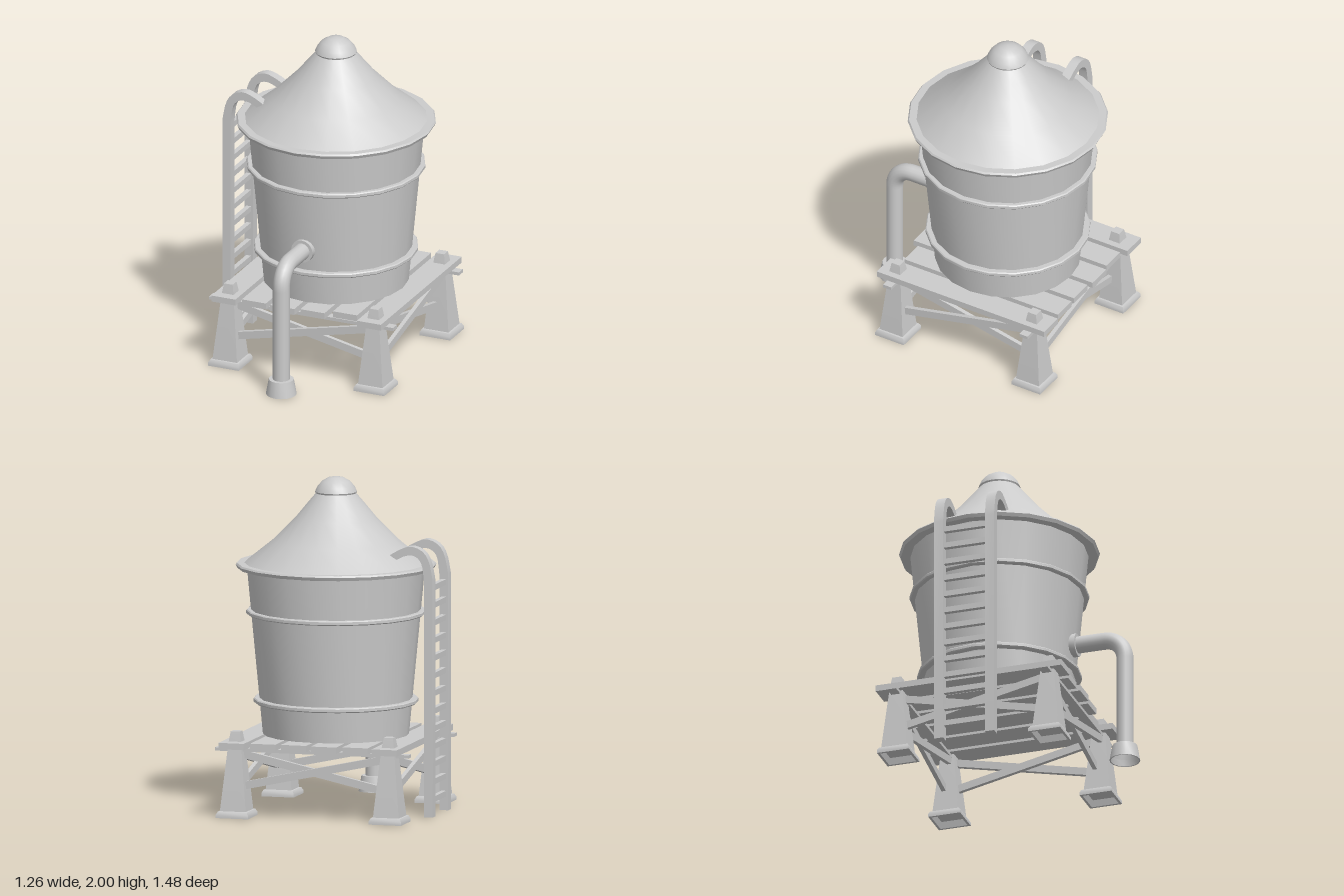
import * as THREE from 'three';
import { toCreasedNormals } from 'three/addons/utils/BufferGeometryUtils.js';

const CX = 0.025, CZ = -0.14, LEG = 0.475;

export function createModel() {
  const root = new THREE.Group();
  const mat = new THREE.MeshStandardMaterial({ color: 0xcccccc, side: THREE.DoubleSide });

  const add = (name, geo, x = 0, y = 0, z = 0, parent = root) => {
    const mesh = new THREE.Mesh(geo, mat);
    mesh.name = name;
    mesh.position.set(x, y, z);
    parent.add(mesh);
    return mesh;
  };
  const box = (name, w, h, d, x, y, z, parent) => add(name, new THREE.BoxGeometry(w, h, d), x, y, z, parent);
  const lathe = (pts, sides = 20) =>
    toCreasedNormals(new THREE.LatheGeometry(pts.map(p => new THREE.Vector2(...p)), sides), 0.6);

  // Tapered tank with its two hoops
  const tankR = y => 0.435 + (y - 0.455) * 0.095;
  add('tank', lathe([[0, 0.455], [tankR(0.455), 0.455], [tankR(1.46), 1.46]]), CX, 0, CZ);
  for (const [y, r] of [[0.658, 0.492], [1.188, 0.535]]) {
    add('hoop', lathe([
      [tankR(y) - 0.01, y - 0.014], [r - 0.006, y - 0.014], [r, y - 0.008],
      [r, y + 0.008], [r - 0.006, y + 0.014], [tankR(y) - 0.01, y + 0.014],
    ]), CX, 0, CZ);
  }

  // Flared roof with a rim, and a domed cap
  add('roof', lathe([
    [0.5, 1.455], [0.588, 1.452], [0.598, 1.472], [0.59, 1.482], [0.545, 1.482],
    [0.385, 1.61], [0.245, 1.75], [0.175, 1.835], [0.115, 1.905],
  ]), CX, 0, CZ);
  add('roofCap', lathe([
    [0.1, 1.897], [0.12, 1.898], [0.125, 1.908], [0.112, 1.938], [0.085, 1.97], [0.045, 1.993], [0, 2],
  ]), CX, 0, CZ);

  // Platform planks, running front to back, the outer two longest
  const ends = [[-0.73, 0.435], [-0.70, 0.415], [-0.72, 0.425], [-0.705, 0.41], [-0.71, 0.36], [-0.73, 0.435]];
  ends.forEach(([back, front], i) =>
    box('plank', 0.157, 0.038, front - back, CX + (i - 2.5) * 0.19, 0.436, (front + back) / 2));

  // Tapered legs whose tips rise through the planks; hollow underneath
  const legProfile = [
    [0, 0.05], [0.075, 0.04], [0.085, 0], [0.1, 0], [0.1, 0.02], [0.09, 0.038], [0.08, 0.04],
    [0.043, 0.41], [0.038, 0.455], [0.028, 0.515], [0, 0.515],
  ].map(([w, y]) => [w * Math.SQRT2, y]);
  for (const sx of [-1, 1]) {
    for (const sz of [-1, 1]) {
      add('leg', lathe(legProfile, 4), CX + sx * LEG, 0, CZ + sz * LEG).rotation.y = Math.PI / 4;
    }
  }
  for (const s of [-1, 1]) box('crossBeam', 1.2, 0.02, 0.056, CX, 0.405, CZ + s * LEG);

  // Crossed braces on all four sides
  for (let side = 0; side < 4; side++) {
    const frame = new THREE.Group();
    frame.name = 'braces';
    frame.position.set(CX, 0, CZ);
    frame.rotation.y = side * Math.PI / 2;
    root.add(frame);
    for (const s of [-1, 1]) {
      box('brace', 0.92, 0.046, 0.026, 0, 0.283, LEG + s * 0.014, frame).rotation.z = s * 0.214;
    }
  }

  // Drain pipe with a bend, wall flange and flared foot
  const path = new THREE.CurvePath();
  const v = (y, z) => new THREE.Vector3(CX, y, z);
  path.add(new THREE.LineCurve3(v(0.06, 0.648), v(0.67, 0.648)));
  path.add(new THREE.CubicBezierCurve3(v(0.67, 0.648), v(0.745, 0.648), v(0.802, 0.595), v(0.802, 0.52)));
  path.add(new THREE.LineCurve3(v(0.802, 0.52), v(0.802, 0.30)));
  add('pipe', new THREE.TubeGeometry(path, 48, 0.051, 16));
  add('pipeFlange', toCreasedNormals(new THREE.CylinderGeometry(0.07, 0.07, 0.07, 16), 0.6), CX, 0.802, 0.318)
    .rotation.x = Math.PI / 2;
  add('pipeFoot', lathe([[0.08, 0.04], [0.085, 0], [0.092, 0], [0.075, 0.095], [0.045, 0.095]], 16), CX, 0, 0.648);

  // Ladder: hooked rails and evenly spaced rungs
  const hook = new THREE.Shape();
  hook.moveTo(-0.577, 0);
  hook.lineTo(-0.577, 1.42);
  hook.splineThru([[-0.565, 1.51], [-0.54, 1.552], [-0.5, 1.57], [-0.455, 1.563], [-0.408, 1.54]]
    .map(p => new THREE.Vector2(...p)));
  hook.lineTo(-0.363, 1.565);
  hook.splineThru([[-0.43, 1.603], [-0.5, 1.623], [-0.57, 1.594], [-0.61, 1.53], [-0.632, 1.42]]
    .map(p => new THREE.Vector2(...p)));
  hook.lineTo(-0.632, 0);
  const railGeo = toCreasedNormals(
    new THREE.ExtrudeGeometry(hook, { depth: 0.058, bevelEnabled: false, curveSegments: 2 }), 0.5);
  for (const s of [-1, 1]) add('ladderRail', railGeo, 0, 0, CZ + s * 0.16 - 0.029);
  for (let i = 0; i < 13; i++) box('rung', 0.03, 0.034, 0.3, -0.605, 0.1 + i * 0.106, CZ);

  return root;
}
